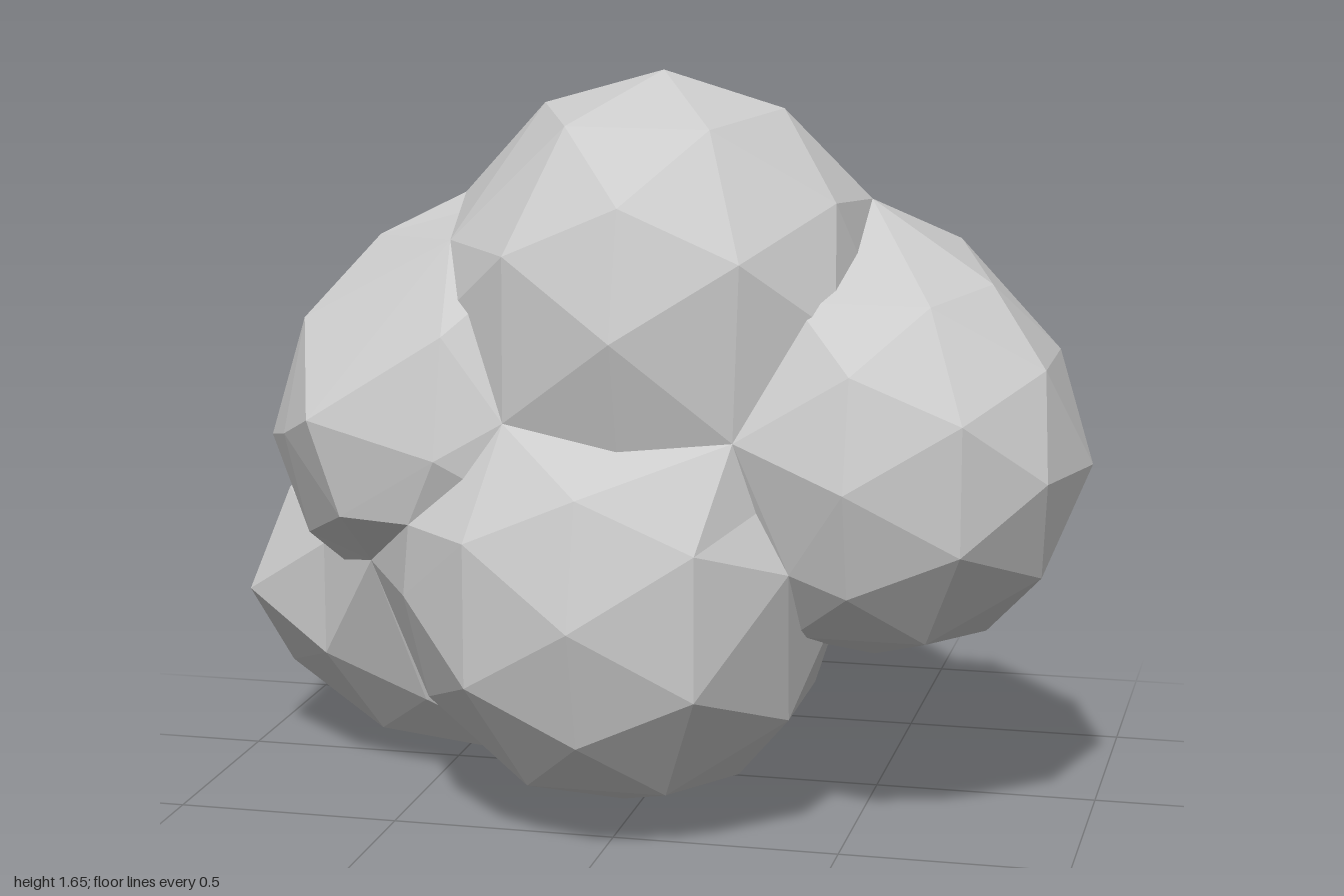
import * as THREE from 'three';

// Lumpy rock: overlapping faceted lobes, as name, centre, radii
const LOBES = [
  ['topLobe', [0.04, 1.13, 0.18], [0.51, 0.52, 0.51]],
  ['backLobe', [-0.02, 0.74, -0.21], [0.62, 0.61, 0.61]],
  ['leftLobe', [0.53, 0.83, 0.24], [0.47, 0.45, 0.43]],
  ['frontLobe', [-0.02, 0.54, 0.32], [0.5, 0.51, 0.5]],
  ['rightUpperLobe', [-0.36, 0.85, 0.18], [0.48, 0.49, 0.45]],
  ['rightLowerLobe', [-0.51, 0.42, -0.13], [0.49, 0.42, 0.41]],
];

// Points where neighbouring lobes are welded together
const SEAMS = [
  [0.04, 1.35, -0.28], [-0.45, 1.35, 0.05], [-0.39, 1.29, 0.38], [0.49, 1.37, 0.1],
  [0.28, 0.91, 0.58], [-0.22, 0.93, 0.58], [0.4, 0.63, 0.57], [-0.43, 0.7, 0.59],
  [-0.15, 0.05, -0.2], [0.2, 0.2, -0.02], [0.57, 0.78, -0.22], [0.56, 0.97, -0.28],
  [0.51, 1.22, 0.26], [-0.6, 0.55, 0.33], [-0.25, 0.05, 0.12],
];

// Outer corners that are chipped in or drawn out
const CHIPS = [
  [0.67, 1.27, -0.03], [0.83, 0.82, 0.02], [0.84, 0.6, 0], [0.67, 1, -0.12],
  [-0.98, 0.4, 0.08], [-1, 0.42, -0.22], [-0.85, 0.4, -0.36], [-0.49, 0, -0.23],
  [-0.67, 0.91, 0.55], [-0.84, 0.82, 0.29],
];

const REACH = 0.19;

// Faceted ellipsoid; its nearest free vertex within reach of a target moves onto it
function lobeGeometry(centre, radii) {
  const geometry = new THREE.IcosahedronGeometry(1, 1);
  geometry.scale(...radii).translate(...centre);
  const position = geometry.attributes.position;
  const points = Array.from({ length: position.count }, (_, i) =>
    new THREE.Vector3().fromBufferAttribute(position, i));
  const moved = new Set();

  for (const corner of [...SEAMS, ...CHIPS]) {
    const target = new THREE.Vector3(...corner);
    let nearest = null;
    let best = REACH;
    points.forEach((p, i) => {
      const distance = p.distanceTo(target);
      if (!moved.has(i) && distance < best) [nearest, best] = [p, distance];
    });
    if (!nearest) continue;
    // Move every copy of the vertex so that the facets stay joined
    points.forEach((p, i) => {
      if (p.distanceTo(nearest) > 0.001) return;
      position.setXYZ(i, ...corner);
      moved.add(i);
    });
  }
  geometry.computeVertexNormals();
  return geometry;
}

export function createModel() {
  const group = new THREE.Group();
  group.name = 'boulderCluster';
  const material = new THREE.MeshStandardMaterial({ color: 0xcccccc, flatShading: true });

  for (const [name, centre, radii] of LOBES) {
    const lobe = new THREE.Mesh(lobeGeometry(centre, radii), material);
    lobe.name = name;
    group.add(lobe);
  }
  return group;
}
